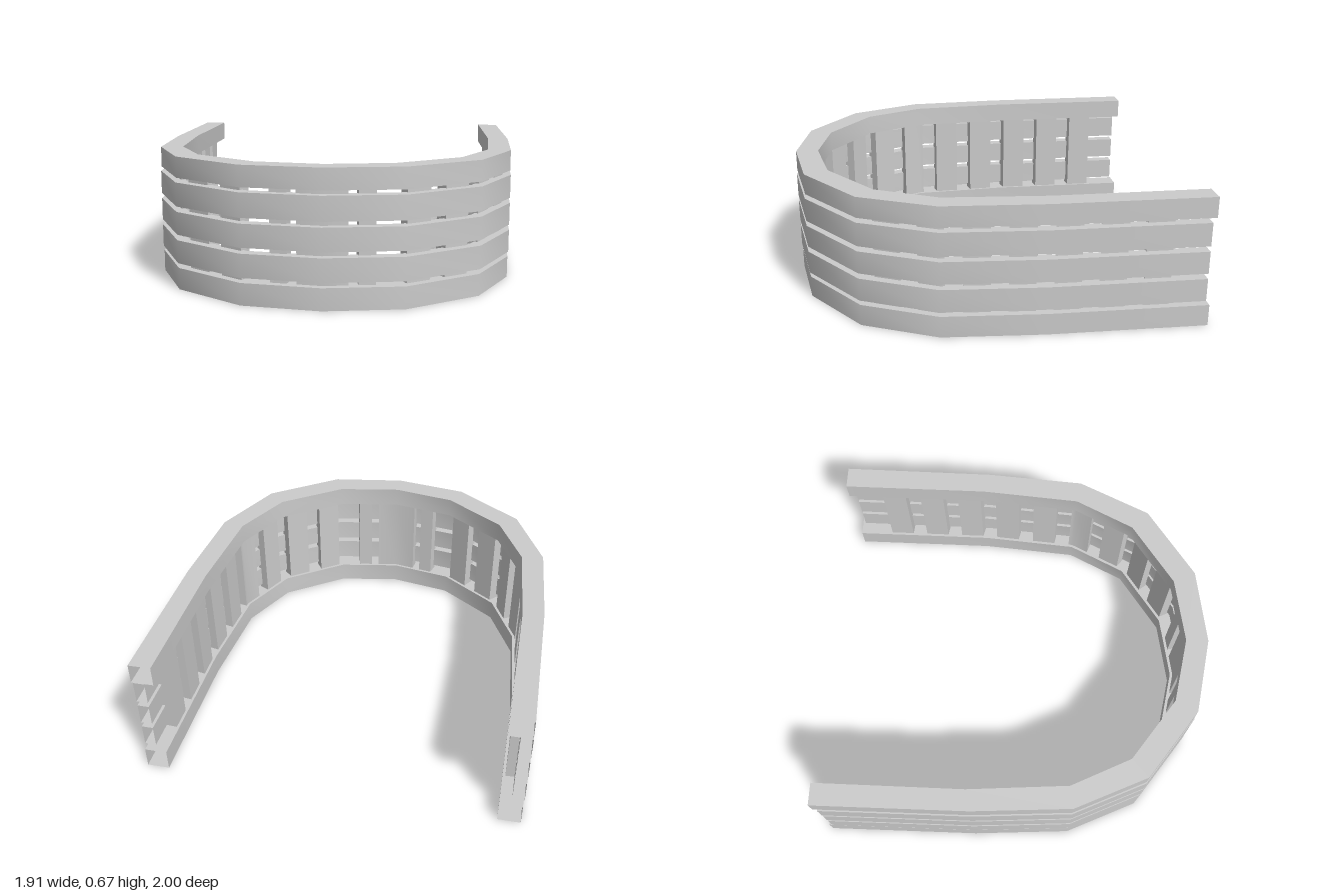
import * as THREE from 'three';
import { toCreasedNormals } from 'three/addons/utils/BufferGeometryUtils.js';

// Plan of the +x half of the U: outer x, outer z, inner x, inner z
const HALF = [
  [0.957, -1, 0.84, -1],
  [0.952, -0.2, 0.84, -0.23],
  [0.918, 0.31, 0.8, 0.29],
  [0.745, 0.685, 0.65, 0.597],
  [0.39, 0.938, 0.335, 0.82],
  [0, 1, 0, 0.88],
];
const PATH = [...HALF, ...HALF.slice(0, -1).reverse().map(([a, b, c, d]) => [-a, b, -c, d])];

// Running length of the middle line at every corner
const LENGTH = [0];
for (let i = 1; i < PATH.length; i++) {
  const [p, q] = [PATH[i - 1], PATH[i]];
  LENGTH.push(LENGTH[i - 1] + Math.hypot(q[0] + q[2] - p[0] - p[2], q[1] + q[3] - p[1] - p[3]) / 2);
}
const TOTAL = LENGTH[LENGTH.length - 1];

function pathAt(s) {
  let i = 1;
  while (i < PATH.length - 1 && LENGTH[i] < s) i++;
  const k = (s - LENGTH[i - 1]) / (LENGTH[i] - LENGTH[i - 1]);
  return PATH[i].map((v, j) => PATH[i - 1][j] + (v - PATH[i - 1][j]) * k);
}

// Rectangular section swept from s0 to s1; t runs from 0 (outer line) to 1 (inner line)
function sweep(s0, s1, t0, t1, y0, y1, capped) {
  const stations = [s0, ...LENGTH.filter((s) => s > s0 + 1e-4 && s < s1 - 1e-4), s1];
  const rings = stations.map((s) => {
    const [ox, oz, ix, iz] = pathAt(s);
    const at = (t, y) => [ox + (ix - ox) * t, y, oz + (iz - oz) * t];
    return [at(t0, y0), at(t0, y1), at(t1, y1), at(t1, y0)];
  });
  const pos = [];
  const quad = (a, b, c, d) => pos.push(...a, ...b, ...c, ...a, ...c, ...d);
  for (let i = 0; i < rings.length - 1; i++) {
    const [a, b] = [rings[i], rings[i + 1]];
    for (let j = 0; j < 4; j++) {
      const n = (j + 1) % 4;
      quad(a[j], a[n], b[n], b[j]);
    }
  }
  if (capped) {
    const [a, b] = [rings[0], rings[rings.length - 1]];
    quad(a[3], a[2], a[1], a[0]);
    quad(b[0], b[1], b[2], b[3]);
  }
  const geo = new THREE.BufferGeometry();
  geo.setAttribute('position', new THREE.Float32BufferAttribute(pos, 3));
  return toCreasedNormals(geo, 0.6);
}

export function createModel() {
  const model = new THREE.Group();
  model.name = 'curvedFence';
  const material = new THREE.MeshStandardMaterial({ color: 0xcccccc, side: THREE.DoubleSide });
  const add = (name, geo) => {
    const mesh = new THREE.Mesh(geo, material);
    mesh.name = name;
    model.add(mesh);
  };

  // Wide hollow rails, open at the ends
  add('bottomRail', sweep(0, TOTAL, 0.03, 1, 0, 0.11));
  add('topRail', sweep(0, TOTAL, 0.03, 1, 0.565, 0.67));

  // Narrower hollow planks on the outside, slightly shorter than the rails
  [[0.135, 0.252], [0.28, 0.395], [0.422, 0.542]].forEach(([y0, y1], i) =>
    add('plank' + (i + 1), sweep(0.02, TOTAL - 0.02, 0, 0.5, y0, y1)));

  // Upright slats behind the planks, mirrored about the centre
  const slat = (name, s0, s1) => add(name, sweep(s0, s1, 0.35, 0.88, 0.1, 0.575, true));
  for (let i = 0; i < 10; i++) {
    const s = i < 9 ? 0.255 + 0.218 * i : 2.25;
    const w = i < 9 ? 0.066 : 0.04;
    slat('leftSlat' + (i + 1), s - w, s + w);
    slat('rightSlat' + (i + 1), TOTAL - s - w, TOTAL - s + w);
  }
  slat('centreSlat', TOTAL / 2 - 0.12, TOTAL / 2 + 0.12);

  return model;
}
